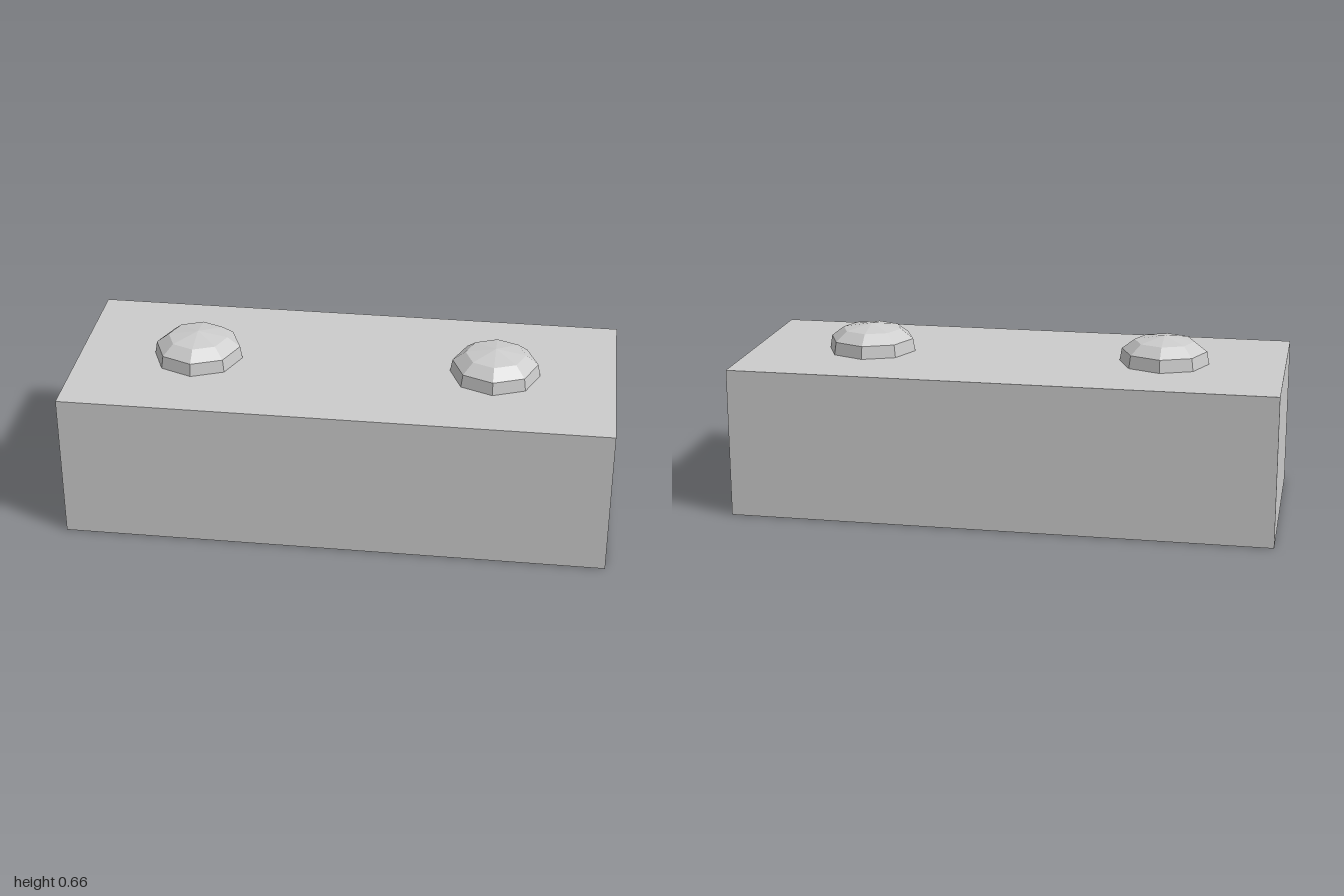
import * as THREE from 'three';

const LENGTH = 2, HEIGHT = 0.555, DEPTH = 0.812;

// Thin box shell with no bottom face
function openBox() {
  const box = new THREE.BoxGeometry(LENGTH, HEIGHT, DEPTH);
  const index = Array.from(box.index.array);
  index.splice(18, 6); // the downward face
  box.setIndex(index);
  box.clearGroups();
  box.translate(0, HEIGHT / 2, 0);
  return box;
}

// Eight-sided faceted dome, standing on the top of the shell
function domeGeometry() {
  const profile = [[0.166, 0], [0.158, 0.047], [0.111, 0.083], [0, 0.102]]
    .map(([r, y]) => new THREE.Vector2(r, y));
  const dome = new THREE.LatheGeometry(profile, 8).toNonIndexed();
  dome.computeVertexNormals();
  return dome;
}

export function createModel() {
  const grey = new THREE.MeshStandardMaterial({
    color: 0xcccccc, flatShading: true, side: THREE.DoubleSide,
  });
  grey.name = 'light grey';

  const model = new THREE.Group();
  model.name = 'studdedBlock';

  const shell = new THREE.Mesh(openBox(), grey);
  shell.name = 'blockShell';
  model.add(shell);

  // One dome near each end
  const dome = domeGeometry();
  for (const [name, x] of [['leftStud', 0.555], ['rightStud', -0.555]]) {
    const stud = new THREE.Mesh(dome, grey);
    stud.name = name;
    stud.position.set(x, HEIGHT, 0);
    model.add(stud);
  }
  return model;
}
